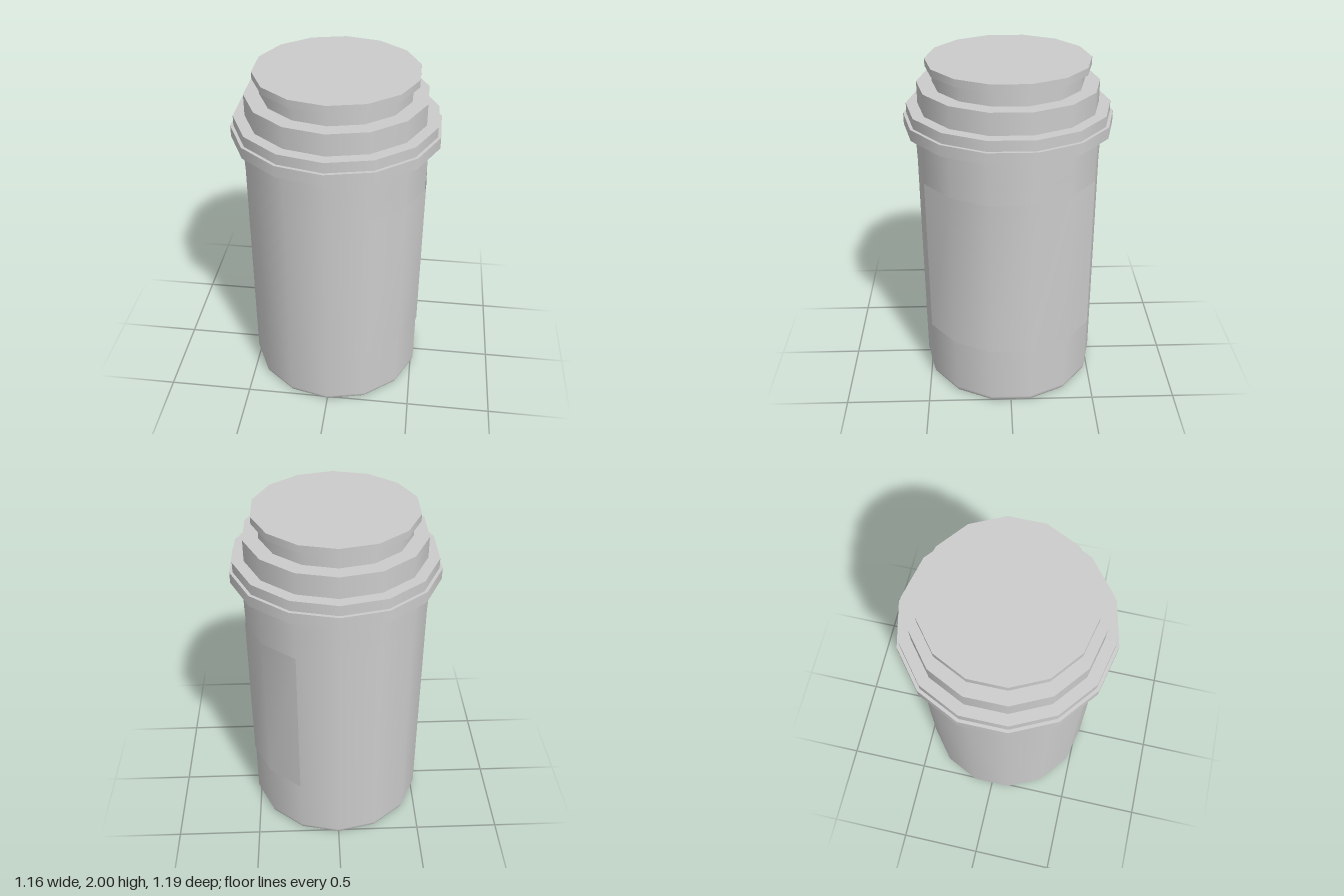
import * as THREE from 'three';

const SIDES = 14;
const STEP = (Math.PI * 2) / SIDES;

export function createModel() {
  const group = new THREE.Group();
  const material = new THREE.MeshStandardMaterial({ color: 0xcccccc });
  const thin = new THREE.MeshStandardMaterial({ color: 0xcccccc, side: THREE.DoubleSide });

  function add(name, geometry, mat = material) {
    const mesh = new THREE.Mesh(geometry, mat);
    mesh.name = name;
    group.add(mesh);
    return mesh;
  }

  // Canister wall with a softly shaded bevel at the foot
  const profile = [[0.512, 0], [0.522, 0.012], [0.529, 0.035], [0.529, 1.4], [0.531, 1.45], [0.531, 1.64]];
  add('body', new THREE.LatheGeometry(profile.map(([r, y]) => new THREE.Vector2(r, y)), SIDES));

  // Flat underside
  const base = add('base', new THREE.CircleGeometry(0.512, SIDES, Math.PI / 2));
  base.rotation.x = Math.PI / 2;

  // Stepped lid: name, radius, bottom, top
  const steps = [
    ['lidRim', 0.596, 1.62, 1.685],
    ['lidUpperRim', 0.578, 1.685, 1.745],
    ['lidCollar', 0.513, 1.745, 1.87],
    ['lidNeck', 0.426, 1.87, 1.958],
    ['lidCap', 0.462, 1.958, 2],
  ];
  for (const [name, radius, bottom, top] of steps) {
    const geometry = new THREE.CylinderGeometry(radius, radius, top - bottom, SIDES);
    add(name, geometry).position.y = (bottom + top) / 2;
  }

  // Label wrapped around five facets of the left side
  const label = new THREE.CylinderGeometry(0.534, 0.534, 0.97, 5, 1, true, STEP, STEP * 5);
  label.computeVertexNormals();
  add('label', label, thin).position.y = 0.865;

  return group;
}
